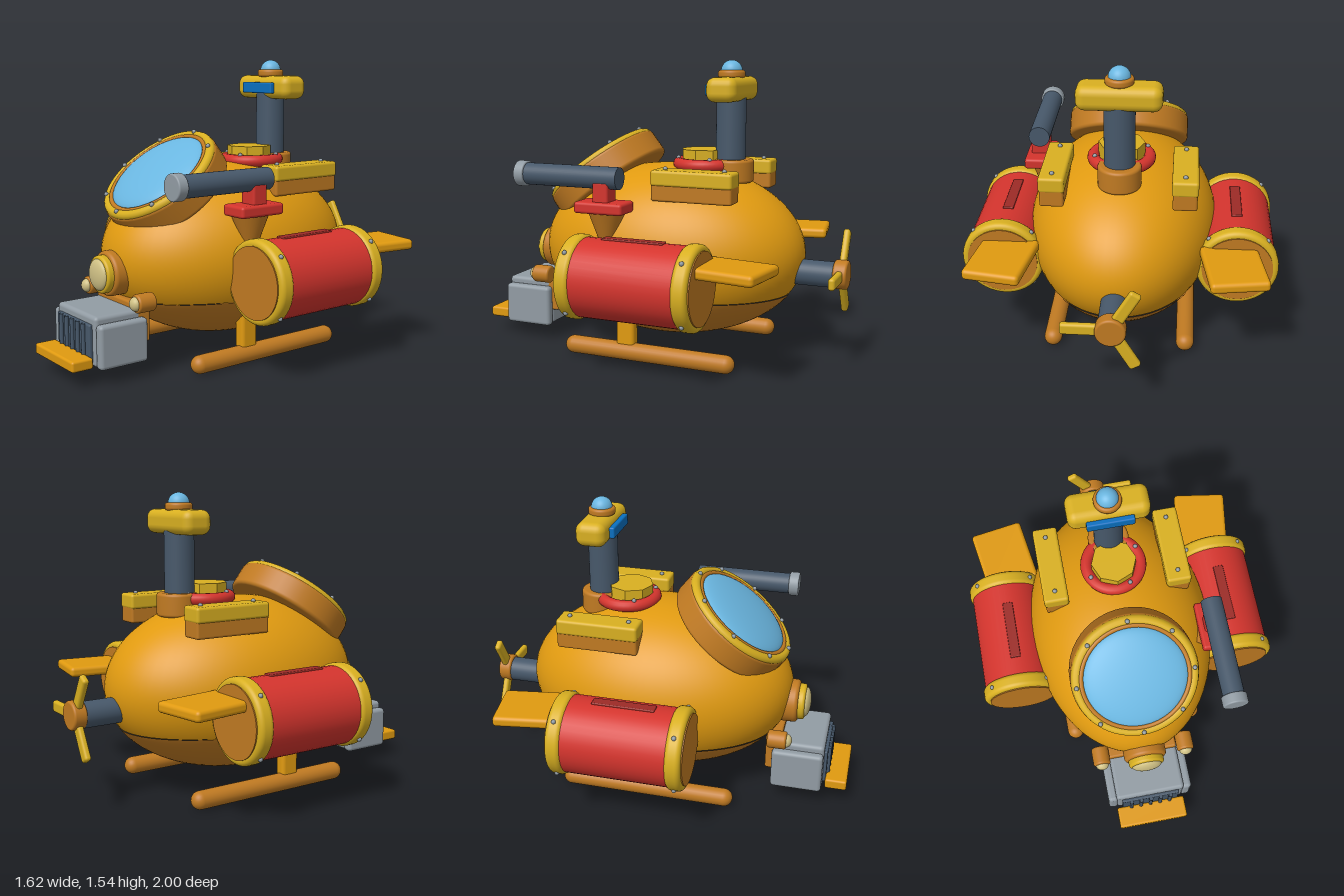
import * as THREE from 'three';
import { RoundedBoxGeometry } from 'three/addons/geometries/RoundedBoxGeometry.js';

const mat = (name, color) => {
  const m = new THREE.MeshStandardMaterial({ color });
  m.name = name;
  return m;
};

export function createModel() {
  const hull = mat('hull orange', 0xe09a10), yellow = mat('trim yellow', 0xd9b021);
  const brown = mat('copper brown', 0xc07a22), red = mat('red', 0xd4342d);
  const darkRed = mat('dark red', 0x9c2b26), slate = mat('slate', 0x47586a);
  const grey = mat('steel grey', 0x929ca4), glass = mat('glass blue', 0x6ab6e0);
  const blue = mat('lens blue', 0x0a70c0), cream = mat('lamp cream', 0xcfc084);

  const model = new THREE.Group();
  const add = (name, geo, m, x = 0, y = 0, z = 0, parent = model) => {
    const mesh = new THREE.Mesh(geo, m);
    mesh.name = name;
    mesh.position.set(x, y, z);
    parent.add(mesh);
    return mesh;
  };
  const group = (name, x, y, z) => {
    const g = new THREE.Group();
    g.name = name;
    g.position.set(x, y, z);
    model.add(g);
    return g;
  };
  const box = (w, h, d, r = 0.012) => new RoundedBoxGeometry(w, h, d, 3, r);
  const cylY = (r, h, r2 = r, n = 40) => new THREE.CylinderGeometry(r, r2, h, n);
  const cylZ = (r, h) => cylY(r, h).rotateX(Math.PI / 2);
  const dome = (r, h) => new THREE.SphereGeometry(r, 40, 12, 0, Math.PI * 2, 0, Math.PI / 2).scale(1, h / r, 1);
  const domeZ = (r, h) => dome(r, h).rotateX(Math.PI / 2);
  // solid disc with rounded edges, centred on its own axis (y)
  const disc = (r, h, b) => {
    const pts = [new THREE.Vector2(0, -h / 2)];
    for (let i = 0; i <= 6; i++) {
      const a = -Math.PI / 2 + (i / 6) * Math.PI / 2;
      pts.push(new THREE.Vector2(r - b + b * Math.cos(a), -h / 2 + b + b * Math.sin(a)));
    }
    for (let i = 0; i <= 6; i++) {
      const a = (i / 6) * Math.PI / 2;
      pts.push(new THREE.Vector2(r - b + b * Math.cos(a), h / 2 - b + b * Math.sin(a)));
    }
    pts.push(new THREE.Vector2(0, h / 2));
    return new THREE.LatheGeometry(pts, 48);
  };
  const discZ = (r, h, b) => disc(r, h, b).rotateX(Math.PI / 2);
  const boltGeo = new THREE.SphereGeometry(0.012, 10, 8);
  const bolt = (x, y, z, parent) => add('bolt', boltGeo, grey, x, y, z, parent);

  // Hull: upper shell and belly share one egg-shaped ellipsoid
  const split = 2.02;
  add('upperHull', new THREE.SphereGeometry(1, 64, 36, 0, Math.PI * 2, 0, split)
    .scale(0.495, 0.453, 0.718), hull, 0, 0.547, -0.05);
  add('belly', new THREE.SphereGeometry(1, 64, 18, 0, Math.PI * 2, split, Math.PI - split)
    .scale(0.498, 0.456, 0.722), brown, 0, 0.547, -0.05);

  // Tilted front porthole
  const port = group('porthole', 0, 0.97, 0.38);
  port.rotation.x = 0.663;
  add('portholeCollar', disc(0.33, 0.14, 0.02), brown, 0, -0.075, 0, port);
  add('portholeRing', new THREE.TorusGeometry(0.3, 0.026, 12, 64).rotateX(Math.PI / 2), yellow, 0, -0.01, 0, port);
  add('portholeInnerRing', new THREE.TorusGeometry(0.277, 0.014, 10, 64).rotateX(Math.PI / 2), brown, 0, 0.002, 0, port);
  add('portholeGlass', dome(0.27, 0.055), glass, 0, 0, 0, port);
  for (let i = 0; i < 8; i++) {
    const a = i * Math.PI / 4;
    bolt(0.303 * Math.cos(a), 0.017, 0.303 * Math.sin(a), port);
  }

  // Nose lamp
  add('noseLampBase', discZ(0.115, 0.12, 0.02), brown, 0, 0.49, 0.645);
  add('noseLampRing', discZ(0.096, 0.07, 0.015), yellow, 0, 0.49, 0.705);
  add('noseLampLens', domeZ(0.08, 0.03), cream, 0, 0.49, 0.738);

  // Front intake box with grille and shelf
  add('intakeBracket', box(0.38, 0.2, 0.08), brown, 0, 0.265, 0.6);
  add('intakeBody', box(0.38, 0.25, 0.27, 0.02), grey, 0, 0.21, 0.735);
  add('grille', box(0.32, 0.19, 0.03, 0.008), slate, 0, 0.2, 0.872);
  for (let i = 0; i < 5; i++)
    add('grilleBar', cylY(0.011, 0.17, 0.011, 12), slate, -0.11 + i * 0.055, 0.21, 0.892);
  add('shelf', box(0.385, 0.055, 0.115), hull, 0, 0.115, 0.942);

  for (const s of [-1, 1]) {
    add('intakeSide', box(0.055, 0.22, 0.27, 0.02), grey, s * 0.207, 0.19, 0.733);

    // Small lamps
    add('smallLampBase', discZ(0.047, 0.1, 0.012), brown, s * 0.235, 0.38, 0.625);
    add('smallLampLens', domeZ(0.036, 0.03), cream, s * 0.235, 0.38, 0.672);

    // Side pod with rims, caps and slot
    const pod = group('sidePod', s * 0.6, 0.49, -0.1);
    add('podBarrel', cylZ(0.198, 0.62), red, 0, 0, 0, pod);
    add('podSlot', box(0.055, 0.02, 0.32, 0.005), darkRed, -s * 0.005, 0.195, 0.01, pod);
    for (const e of [-1, 1]) {
      add('podRim', discZ(0.21, 0.08, 0.025), yellow, 0, 0, e * 0.3, pod);
      add('podCap', cylZ(0.18, 0.02), brown, 0, 0, e * 0.336, pod);
      for (let i = 0; i < 4; i++) {
        const a = Math.PI / 4 + i * Math.PI / 2;
        bolt(0.21 * Math.cos(a), 0.21 * Math.sin(a), e * 0.3, pod);
      }
    }

    // Tail fin
    add('tailFin', box(0.29, 0.055, 0.36, 0.02), hull, s * 0.575, 0.582, -0.575).rotation.y = -s * 0.155;

    // Landing skid and strut
    add('skid', new THREE.CapsuleGeometry(0.047, 0.846, 10, 24).rotateX(Math.PI / 2), brown, s * 0.348, 0.047, -0.05);
    add('strut', box(0.066, 0.2, 0.1, 0.02), hull, s * 0.338, 0.17, 0.07);

    // Deck boxes
    add('deckBoxBase', box(0.12, 0.1, 0.42), brown, s * 0.325, 0.9, -0.295);
    add('deckBoxLid', box(0.13, 0.08, 0.425, 0.015), yellow, s * 0.325, 0.965, -0.295);
    for (const z of [-0.45, -0.14]) bolt(s * 0.325, 1.007, z);
  }

  // Hatch
  add('hatchRing', new THREE.TorusGeometry(0.142, 0.031, 14, 48).rotateX(Math.PI / 2), red, 0, 1.005, -0.235);
  const lid = add('hatchLid', cylY(0.118, 0.1, 0.118, 8).toNonIndexed(), yellow, 0, 1.03, -0.22);
  lid.geometry.computeVertexNormals();
  for (let i = 0; i < 4; i++) {
    const a = 1.1 + i * Math.PI / 2;
    bolt(0.145 * Math.cos(a), 1.035, -0.235 + 0.145 * Math.sin(a));
  }

  // Periscope
  const scope = group('periscope', 0, 0, -0.37);
  add('mastCollar', disc(0.108, 0.12, 0.015), brown, 0, 0.975, -0.012, scope);
  add('mast', cylY(0.077, 0.4), slate, 0, 1.17, 0, scope);
  add('periscopeHead', box(0.415, 0.125, 0.16, 0.045), yellow, 0, 1.393, -0.005, scope);
  add('periscopeWindow', box(0.24, 0.058, 0.03, 0.008), blue, 0, 1.39, 0.087, scope);
  add('beaconBase', disc(0.07, 0.04, 0.014), brown, 0, 1.468, 0, scope);
  add('beacon', dome(0.055, 0.055), glass, 0, 1.484, 0, scope);

  // Side launcher
  add('launcherFoot', cylY(0.1, 0.15, 0.045), brown, 0.435, 0.73, 0.13);
  add('launcherBase', box(0.155, 0.058, 0.262, 0.015), red, 0.467, 0.82, 0.132);
  add('launcherPost', box(0.1, 0.12, 0.085), red, 0.467, 0.89, 0.13);
  add('launcherTube', cylZ(0.056, 0.53), slate, 0.465, 0.965, 0.31);
  add('launcherTip', discZ(0.066, 0.055, 0.008), grey, 0.465, 0.965, 0.59);

  // Propeller
  add('shaft', cylZ(0.066, 0.25), slate, 0, 0.47, -0.83);
  const prop = group('propeller', 0, 0.475, -0.965);
  add('hub', discZ(0.074, 0.07, 0.012), brown, 0, 0, 0, prop);
  for (let i = 0; i < 3; i++) {
    const blade = box(0.2, 0.06, 0.034, 0.014).translate(0.138, 0, 0).rotateZ(i * Math.PI * 2 / 3);
    add('blade', blade, yellow, 0, 0, 0, prop);
  }
  return model;
}
